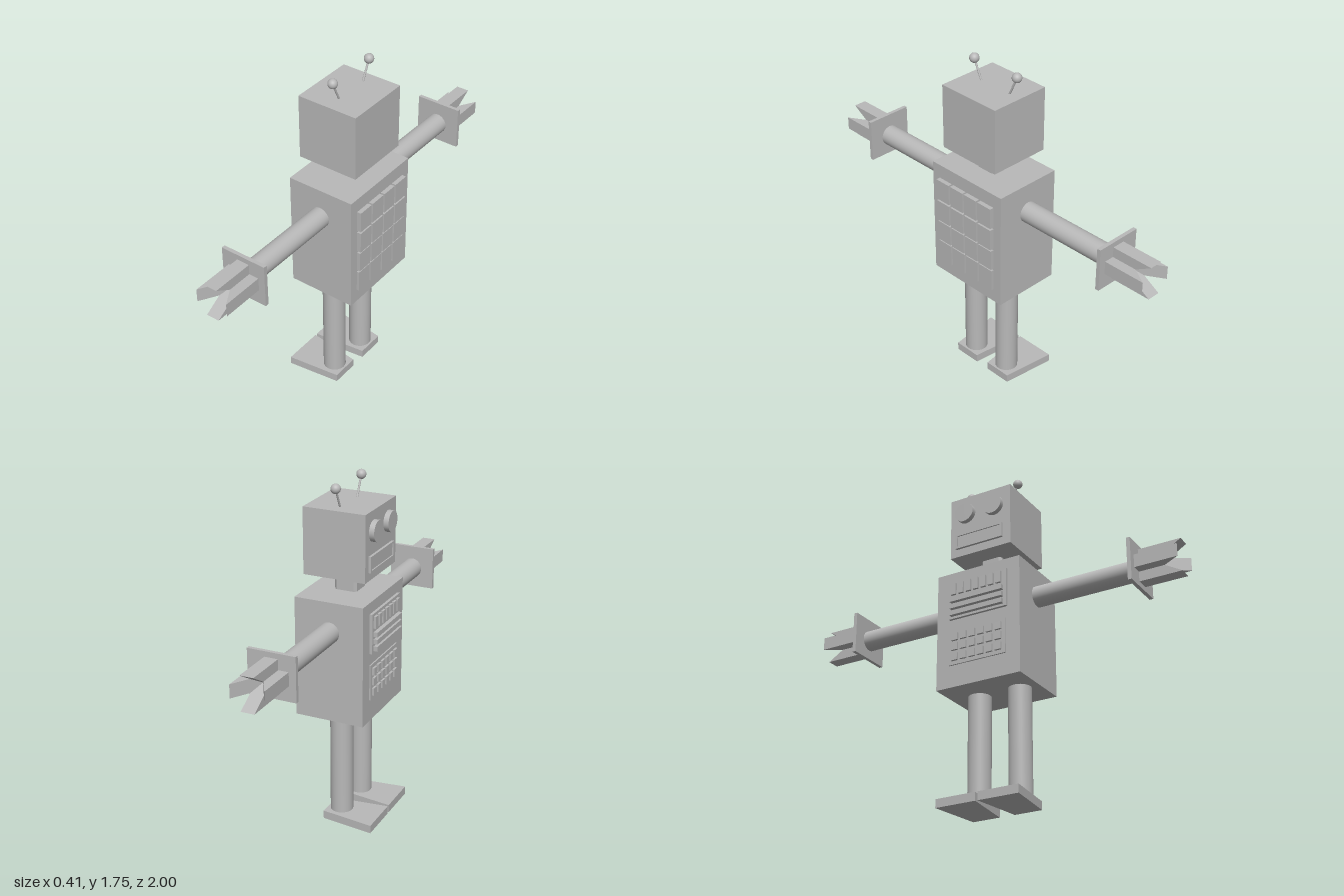
import * as THREE from 'three';

export function createModel() {
  const robot = new THREE.Group();
  robot.name = 'robot';
  const grey = new THREE.MeshStandardMaterial({ color: 0xb8b8b8 });
  grey.name = 'grey metal';

  const add = (name, geometry, parent = robot) => {
    const mesh = new THREE.Mesh(geometry, grey);
    mesh.name = name;
    parent.add(mesh);
    return mesh;
  };
  // Box given by its limits on each axis
  const box = (name, [x0, x1], [y0, y1], [z0, z1], parent) => {
    const mesh = add(name, new THREE.BoxGeometry(x1 - x0, y1 - y0, z1 - z0), parent);
    mesh.position.set((x0 + x1) / 2, (y0 + y1) / 2, (z0 + z1) / 2);
    return mesh;
  };
  // Round rod between two points
  const rod = (name, a, b, r, sides = 32, parent) => {
    const from = new THREE.Vector3(...a), to = new THREE.Vector3(...b);
    const dir = to.clone().sub(from);
    const mesh = add(name, new THREE.CylinderGeometry(r, r, dir.length(), sides), parent);
    mesh.position.copy(from).add(to).multiplyScalar(0.5);
    mesh.quaternion.setFromUnitVectors(new THREE.Vector3(0, 1, 0), dir.normalize());
    return mesh;
  };
  const outline = (pts) => new THREE.Shape(pts.map(([x, y]) => new THREE.Vector2(x, y)));
  const slab = (pts, depth) => new THREE.ExtrudeGeometry(outline(pts), { depth, bevelEnabled: false });

  // Torso, head and the neck with cut corners
  box('torso', [-0.174, 0.18], [0.592, 1.2], [-0.229, 0.231]);
  box('head', [-0.157, 0.161], [1.296, 1.625], [-0.17, 0.173]);
  const n = 0.057, c = 0.045;
  const neck = add('neck', slab([[n, -c], [n, c], [c, n], [-c, n], [-n, c], [-n, -c], [-c, -n], [c, -n]], 0.1));
  neck.rotation.x = -Math.PI / 2;
  neck.position.set(0.001, 1.198, 0.002);

  // Eyes and mouth, on the -x face
  for (const z of [-0.08, 0.081]) {
    rod('eye', [-0.15, 1.528, z], [-0.183, 1.528, z], 0.052);
  }
  const mouth = new THREE.Group();
  mouth.name = 'mouth';
  robot.add(mouth);
  box('mouthPlate', [-0.164, -0.15], [1.338, 1.417], [-0.135, 0.13], mouth);
  for (const y of [1.338, 1.407]) box('mouthRim', [-0.17, -0.15], [y, y + 0.01], [-0.135, 0.13], mouth);
  for (const z of [-0.135, 0.12]) box('mouthRim', [-0.17, -0.15], [1.338, 1.417], [z, z + 0.01], mouth);

  // Antennae leaning outwards
  for (const [z0, z1] of [[0.08, 0.127], [-0.1, -0.148]]) {
    rod('antenna', [0.002, 1.62, z0], [0.002, 1.72, z1], 0.005, 12);
    add('antennaBall', new THREE.SphereGeometry(0.024, 24, 16)).position.set(0.002, 1.722, z1);
  }

  // Chest panels with their buttons
  const chest = new THREE.Group();
  chest.name = 'chestPanels';
  robot.add(chest);
  box('upperPanel', [-0.188, -0.17], [0.944, 1.144], [-0.155, 0.165], chest);
  for (let i = 0; i < 7; i++) {
    const z = -0.14 + i * 0.042;
    box('switch', [-0.2, -0.18], [1.07, 1.13], [z, z + 0.028], chest);
  }
  for (const y of [1.04, 1.004, 0.968]) {
    box('bar', [-0.208, -0.18], [y - 0.012, y + 0.012], [-0.14, 0.15], chest);
  }
  box('lowerPanel', [-0.181, -0.17], [0.704, 0.885], [-0.155, 0.155], chest);
  for (const y of [0.847, 0.796, 0.742]) {
    for (let i = 0; i < 6; i++) {
      const z = -0.138 + i * 0.048;
      box('key', [-0.192, -0.175], [y - 0.019, y + 0.019], [z, z + 0.034], chest);
    }
  }

  // Back grid: four by four tiles, thinner towards the bottom
  const back = new THREE.Group();
  back.name = 'backGrid';
  robot.add(back);
  const rowEdges = [1.134, 1.016, 0.896, 0.78, 0.658];
  const colEdges = [-0.186, -0.09, 0.001, 0.096, 0.19];
  for (let r = 0; r < 4; r++) {
    for (let k = 0; k < 4; k++) {
      const out = 0.202 - Math.max(0, r - 1) * 0.004;
      box('backTile', [0.175, out], [rowEdges[r + 1] + 0.005, rowEdges[r] - 0.005],
        [colEdges[k] + 0.005, colEdges[k + 1] - 0.005], back);
    }
  }

  // Arms along z, each with a square wrist plate and four bevelled claws
  const w = 0.033, reach = 0.084;
  for (const side of [1, -1]) {
    const arm = new THREE.Group();
    arm.name = side > 0 ? 'armFront' : 'armBack';
    robot.add(arm);
    rod('armTube', [0, 1.049, side * 0.22], [0, 1.049, side * 0.77], 0.052, 32, arm);
    const hand = new THREE.Group();
    hand.name = 'hand';
    hand.position.set(0.002, 1.057, 0);
    if (side < 0) hand.rotation.y = Math.PI;
    arm.add(hand);
    box('wristPlate', [-0.119, 0.119], [-0.108, 0.11], [0.766, 0.785], hand);
    for (let i = 0; i < 4; i++) {
      const claw = slab([[0, 0], [w, w], [w, reach], [-w, reach], [-w, w]], 1);
      const p = claw.attributes.position;
      for (let v = 0; v < p.count; v++) {
        p.setZ(v, p.getZ(v) > 0.5 ? 0.86 + (0.14 * p.getY(v)) / reach : 0.775);
      }
      claw.computeVertexNormals();
      add('claw', claw, hand).rotation.z = (i * Math.PI) / 2;
    }
  }

  // Legs and feet, the feet widening towards the toes
  for (const [name, legZ, footZ] of [['legFront', 0.13, 0.13], ['legBack', -0.092, -0.094]]) {
    const leg = new THREE.Group();
    leg.name = name;
    robot.add(leg);
    rod('legTube', [0.002, 0.03, legZ], [0.002, 0.6, legZ], 0.057, 32, leg);
    const foot = add('foot', slab([[-0.205, -0.106], [0.069, -0.072], [0.069, 0.072], [-0.205, 0.106]], 0.042), leg);
    foot.rotation.x = -Math.PI / 2;
    foot.position.z = footZ;
  }
  return robot;
}
